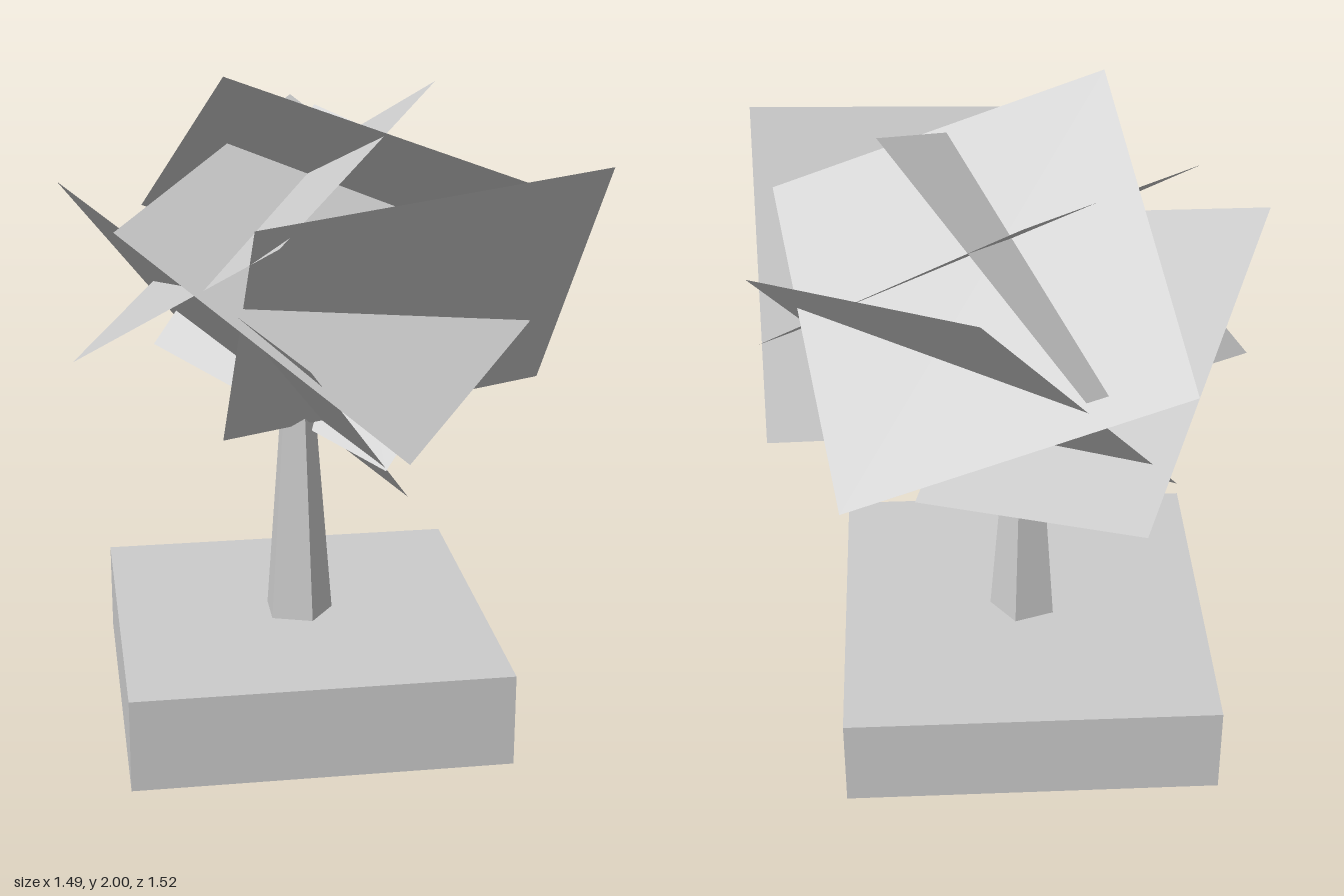
import * as THREE from 'three';

const grey = new THREE.MeshStandardMaterial({ color: 0xcccccc, flatShading: true });
const leafGrey = new THREE.MeshStandardMaterial({ color: 0xcccccc, flatShading: true, side: THREE.DoubleSide });

function addPart(parent, name, geometry, material = grey) {
  const mesh = new THREE.Mesh(geometry, material);
  mesh.name = name;
  parent.add(mesh);
  return mesh;
}

// Flat square card from one corner and its two neighbours
function cardGeometry(corner, sideA, sideB) {
  const o = new THREE.Vector3(...corner);
  const a = new THREE.Vector3(...sideA);
  const b = new THREE.Vector3(...sideB);
  const far = a.clone().add(b).sub(o);
  const geometry = new THREE.BufferGeometry().setFromPoints([o, a, far, b]);
  geometry.setIndex([0, 1, 2, 0, 2, 3]);
  geometry.computeVertexNormals();
  return geometry;
}

// Tapered five-sided limb between two points
function limbGeometry(from, to, r0, r1) {
  const start = new THREE.Vector3(...from);
  const dir = new THREE.Vector3(...to).sub(start);
  const length = dir.length();
  const geometry = new THREE.CylinderGeometry(r1, r0, length, 5);
  geometry.rotateY(Math.PI / 2);
  geometry.translate(0, length / 2, 0);
  geometry.applyQuaternion(new THREE.Quaternion().setFromUnitVectors(new THREE.Vector3(0, 1, 0), dir.normalize()));
  return geometry.translate(start.x, start.y, start.z);
}

export function createModel() {
  const model = new THREE.Group();
  model.name = 'tree';

  // Square block of ground
  const base = addPart(model, 'groundBlock', new THREE.BoxGeometry(1.127, 0.285, 1.13));
  base.position.set(-0.049, 0.1425, -0.039);

  // Trunk and one small branch whose tip pokes through the leaves
  addPart(model, 'trunk', limbGeometry([-0.053, 0.285, -0.035], [-0.053, 1.25, -0.035], 0.108, 0.032));
  addPart(model, 'branch', limbGeometry([-0.053, 1.1, -0.035], [-0.38, 1.41, -0.04], 0.03, 0.01));

  // Crossing leaf cards: corner, then the two corners next to it
  const cards = {
    frontLeafCard: [[-0.255, 1.678, 0.667], [0.746, 1.778, 0.493], [-0.286, 0.884, 0.044]],
    topLeafCard: [[-0.286, 2.0, 0.206], [0.673, 1.645, 0.222], [-0.472, 1.447, -0.663]],
    backLeafCard: [[0.105, 1.74, -0.763], [0.742, 1.52, -0.1], [-0.455, 1.037, -0.47]],
    lowerLeafCard: [[-0.746, 1.672, -0.028], [-0.347, 1.03, -0.71], [-0.113, 1.298, 0.687]],
    middleLeafCard: [[0.143, 1.05, 0.757], [0.73, 1.27, -0.045], [-0.605, 1.614, 0.37]],
    slantedLeafCard: [[0.36, 1.928, -0.06], [-0.173, 1.45, -0.677], [-0.19, 1.626, 0.657]],
  };
  const foliage = new THREE.Group();
  foliage.name = 'foliage';
  for (const [name, corners] of Object.entries(cards)) {
    addPart(foliage, name, cardGeometry(...corners), leafGrey);
  }
  model.add(foliage);

  return model;
}
